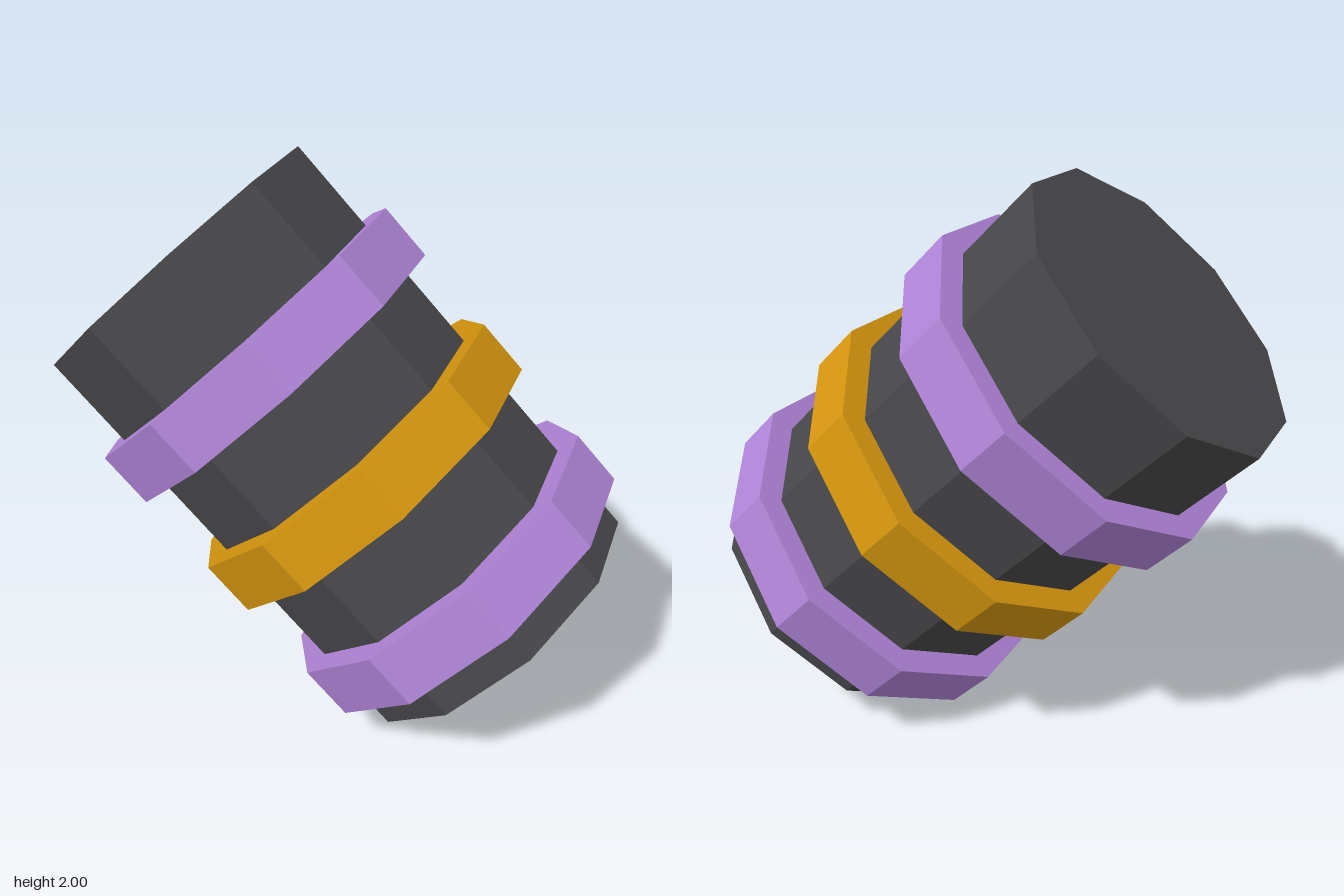
import * as THREE from 'three';

export function createModel() {
  const paint = (name, color) => {
    const m = new THREE.MeshStandardMaterial({ color, flatShading: true });
    m.name = name;
    return m;
  };
  const charcoal = paint('charcoal', 0x47474a);
  const purple = paint('purple', 0xb084d8);
  const gold = paint('gold', 0xd6960f);

  // Ten-sided barrel leaning 45 degrees to the model's right
  const model = new THREE.Group();
  const canister = new THREE.Group();
  canister.name = 'canister';
  canister.position.y = 1;
  canister.rotation.z = Math.PI / 4;
  model.add(canister);

  const addDrum = (name, radius, height, along, material) => {
    const mesh = new THREE.Mesh(new THREE.CylinderGeometry(radius, radius, height, 10), material);
    mesh.name = name;
    mesh.position.y = along;
    canister.add(mesh);
  };

  addDrum('body', 0.577, 1.731, 0, charcoal);

  // Raised bands, spaced evenly along the barrel
  addDrum('upperBand', 0.667, 0.206, 0.418, purple);
  addDrum('middleBand', 0.667, 0.206, -0.101, gold);
  addDrum('lowerBand', 0.667, 0.206, -0.62, purple);

  return model;
}
